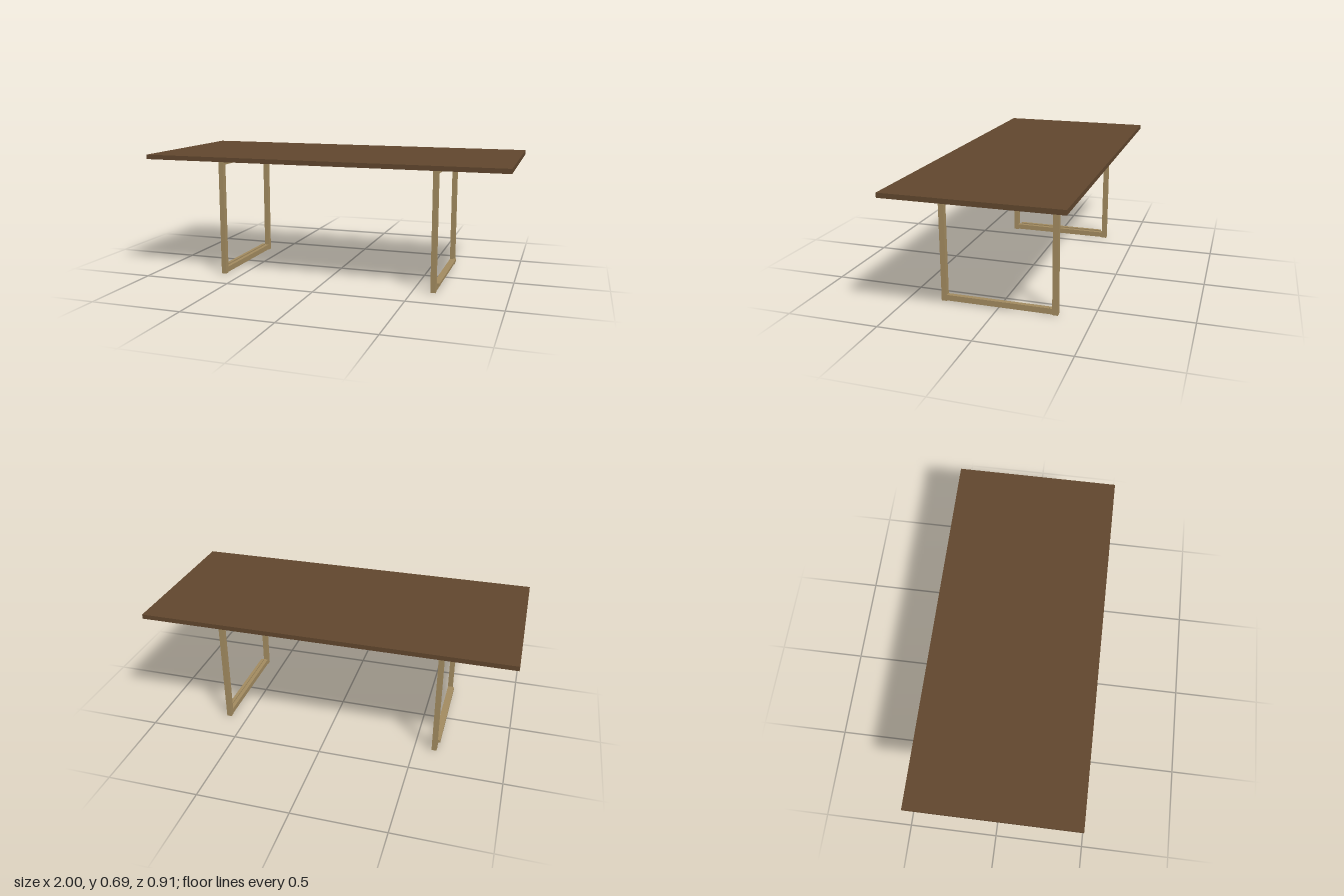
import * as THREE from 'three';
import { RoundedBoxGeometry } from 'three/addons/geometries/RoundedBoxGeometry.js';

export function createModel() {
  const model = new THREE.Group();
  model.name = 'table';
  const wood = new THREE.MeshStandardMaterial({ color: 0x60462d });
  wood.name = 'dark wood';
  const brass = new THREE.MeshStandardMaterial({ color: 0xa18a5f });
  brass.name = 'brass';

  // Adds a box given by its minimum and maximum corners
  function box(parent, name, material, [x0, y0, z0], [x1, y1, z1], radius = 0) {
    const size = [x1 - x0, y1 - y0, z1 - z0];
    const geometry = radius ? new RoundedBoxGeometry(...size, 3, radius) : new THREE.BoxGeometry(...size);
    const mesh = new THREE.Mesh(geometry, material);
    mesh.name = name;
    mesh.position.set((x0 + x1) / 2, (y0 + y1) / 2, (z0 + z1) / 2);
    parent.add(mesh);
  }

  box(model, 'tableTop', wood, [-1, 0.665, -0.455], [1, 0.69, 0.455]);

  // Long beam under the top, running through both leg frames
  box(model, 'supportBeam', brass, [-0.672, 0.641, -0.023], [0.672, 0.663, 0.023], 0.004);

  // Rectangular leg frames, mirrored left and right
  for (const side of [1, -1]) {
    const frame = new THREE.Group();
    frame.name = side > 0 ? 'leftLegFrame' : 'rightLegFrame';
    frame.position.x = side * 0.61;
    for (const z of [-0.305, 0.305]) {
      box(frame, z > 0 ? 'frontPost' : 'backPost', brass, [-0.014, 0, z - 0.015], [0.014, 0.665, z + 0.015]);
    }
    box(frame, 'topRail', brass, [-0.013, 0.63, -0.29], [0.013, 0.662, 0.29]);
    box(frame, 'bottomRail', brass, [-0.013, 0.003, -0.29], [0.013, 0.034, 0.29]);
    // Slim strip on the outer edge of the bottom rail
    const inner = side * 0.008, outer = side * 0.026;
    box(frame, 'footStrip', brass, [Math.min(inner, outer), 0.026, -0.276], [Math.max(inner, outer), 0.041, 0.276]);
    model.add(frame);
  }
  return model;
}
